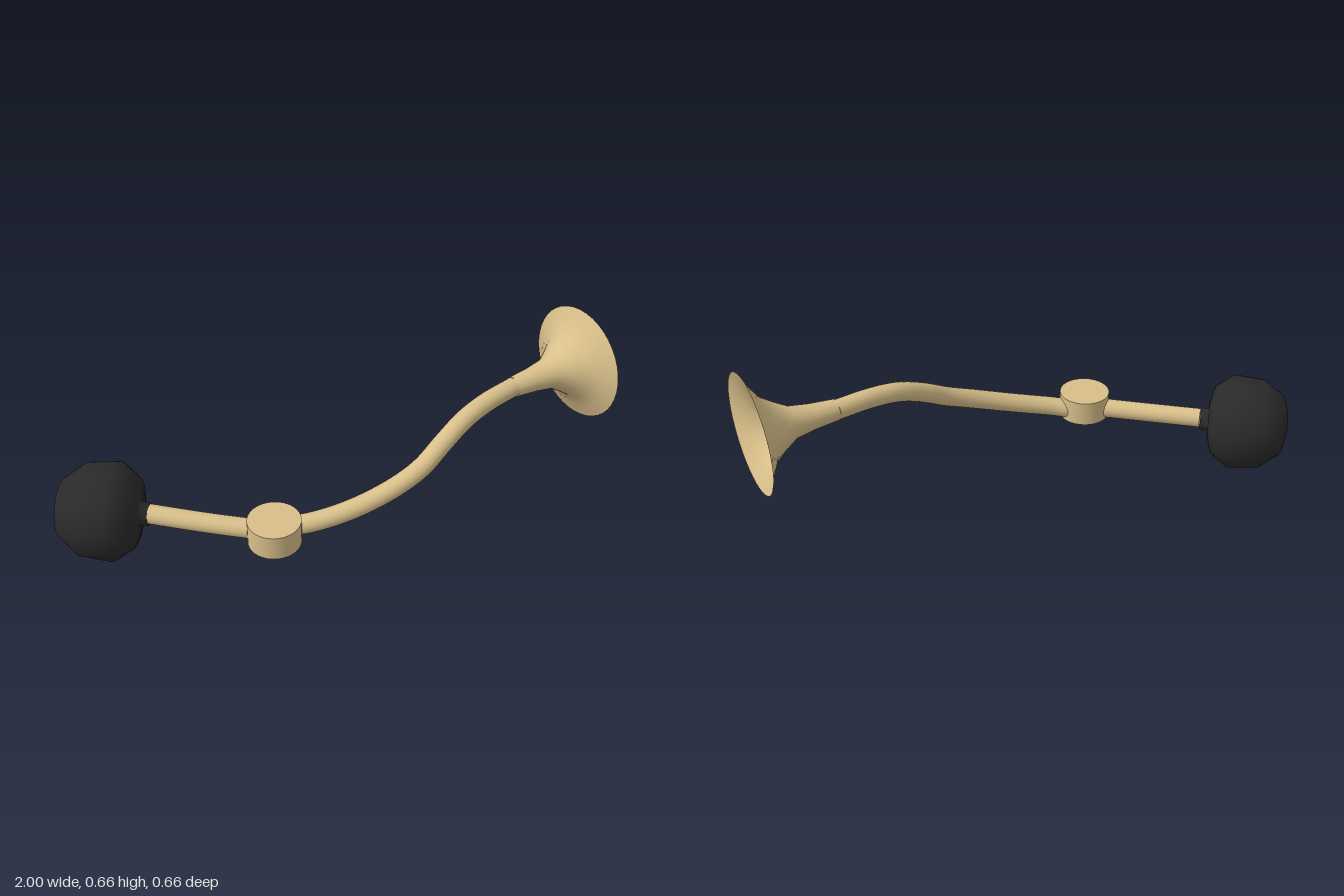
import * as THREE from 'three';

const brass = new THREE.MeshStandardMaterial({ color: 0xd8bf8a, side: THREE.DoubleSide });
brass.name = 'brass';
const rubber = new THREE.MeshStandardMaterial({ color: 0x2a2a2a, side: THREE.DoubleSide });
rubber.name = 'black rubber';

const v = (x, y, z) => new THREE.Vector3(x, y, z);

export function createModel() {
  const group = new THREE.Group();

  const add = (name, geometry, material) => {
    const mesh = new THREE.Mesh(geometry, material);
    mesh.name = name;
    group.add(mesh);
    return mesh;
  };

  // Profile of [distance along axis, radius] turned around an axis through origin
  const turned = (name, profile, origin, axis, material) => {
    const points = profile.map(([s, r]) => new THREE.Vector2(r, s));
    const mesh = add(name, new THREE.LatheGeometry(points, 40), material);
    mesh.quaternion.setFromUnitVectors(v(0, 1, 0), axis.clone().normalize());
    mesh.position.copy(origin);
    return mesh;
  };

  // Round pipe through points, closed by a disc at its far end
  const pipe = (name, points, radius) => {
    const curve = new THREE.CatmullRomCurve3(points);
    add(name, new THREE.TubeGeometry(curve, 48, radius, 20), brass);
    const cap = add(name + 'End', new THREE.CircleGeometry(radius, 20), brass);
    cap.position.copy(curve.getPoint(1));
    cap.quaternion.setFromUnitVectors(v(0, 0, 1), curve.getTangent(1));
  };

  // Squeeze bulb with its collar
  turned('bulb', [
    [-0.168, 0.034], [-0.168, 0.041], [-0.138, 0.043], [-0.138, 0.066],
    [-0.121, 0.128], [-0.053, 0.179], [0.064, 0.168], [0.142, 0.108], [0.158, 0.05], [0.162, 0],
  ], v(-0.825, 0.18, -0.16), v(-0.84, 0, -0.543), rubber);

  // Drum joining the two pipes
  const drum = add('drum', new THREE.CylinderGeometry(0.095, 0.095, 0.095, 40), brass);
  drum.position.set(-0.325, 0.1875, 0.21);

  // Straight pipe to the bulb
  pipe('bulbPipe', [v(-0.31, 0.174, 0.21), v(-0.5, 0.176, 0.072), v(-0.684, 0.182, -0.068)], 0.036);

  // Swept pipe to the bell
  pipe('bellPipe', [
    v(-0.26, 0.176, 0.202), v(-0.2, 0.187, 0.228), v(-0.1, 0.208, 0.254), v(0, 0.235, 0.27),
    v(0.12, 0.275, 0.277), v(0.22, 0.315, 0.268), v(0.32, 0.372, 0.241), v(0.42, 0.417, 0.21),
    v(0.53, 0.438, 0.179), v(0.67, 0.443, 0.144),
  ], 0.036);

  // Flared bell, open at both ends
  turned('bell', [
    [-0.31, 0.038], [-0.22, 0.046], [-0.147, 0.058], [-0.1, 0.087],
    [-0.055, 0.119], [-0.022, 0.172], [0, 0.218],
  ], v(0.975, 0.443, 0.112), v(0.994, 0, -0.109), brass);

  return group;
}
